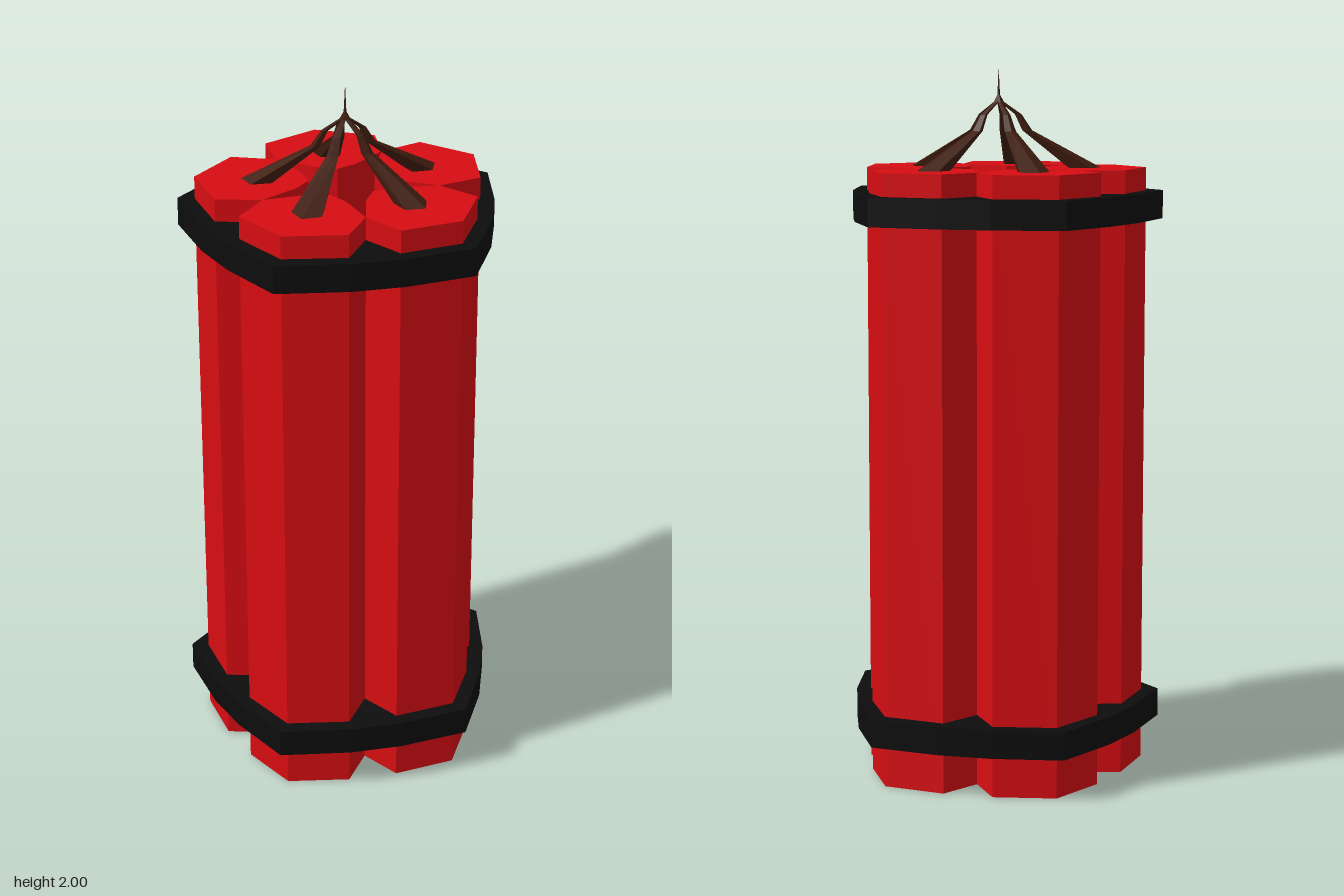
import * as THREE from 'three';

const RED = new THREE.MeshStandardMaterial({ color: 0xd60d12, flatShading: true });
const BLACK = new THREE.MeshStandardMaterial({ color: 0x0d0d0d, flatShading: true });
const BROWN = new THREE.MeshStandardMaterial({ color: 0x3f1d10, flatShading: true });
const COUNT = 5;
const STEP = (Math.PI * 2) / COUNT;

// Turn [x, z] outline points into shape points (shape y becomes -z once laid flat)
const outline = (pts) => pts.map(([x, z]) => new THREE.Vector2(x, -z));

// Upright prism from a plan outline
function prism(shape, y, height) {
  const geo = new THREE.ExtrudeGeometry(shape, { depth: height, bevelEnabled: false });
  return geo.rotateX(-Math.PI / 2).translate(0, y, 0);
}

// Repeat plan points around the bundle axis
function repeatAround(pts) {
  const out = [];
  for (let i = 0; i < COUNT; i++) {
    const c = Math.cos(i * STEP), s = Math.sin(i * STEP);
    for (const [x, z] of pts) out.push([x * c + z * s, z * c - x * s]);
  }
  return out;
}

// Tapering strand lofted through five-sided sections [radius, y, halfWidth, halfDepth]
function strand(sections, sides = 5) {
  const pos = [], index = [];
  for (const [r, y, w, d] of sections) {
    for (let j = 0; j < sides; j++) {
      const a = (j / sides) * Math.PI * 2;
      pos.push(w * Math.sin(a), y, r + d * Math.cos(a));
    }
  }
  for (let i = 0; i < sections.length - 1; i++) {
    for (let j = 0; j < sides; j++) {
      const a = i * sides + j, b = i * sides + ((j + 1) % sides);
      index.push(a, b, b + sides, a, b + sides, a + sides);
    }
  }
  const geo = new THREE.BufferGeometry();
  geo.setAttribute('position', new THREE.Float32BufferAttribute(pos, 3));
  geo.setIndex(index);
  const flat = geo.toNonIndexed();
  flat.computeVertexNormals();
  return flat;
}

export function createModel() {
  const model = new THREE.Group();
  model.name = 'stickBundle';

  // Eight-sided stick and its fuse, shared by all five positions
  const stickShape = new THREE.Shape(outline([
    [0, 0.42], [0.16, 0.34], [0.153, 0.21], [0.06, 0.13],
    [0, 0.102], [-0.06, 0.13], [-0.153, 0.21], [-0.16, 0.34],
  ]));
  const stickGeo = prism(stickShape, 0, 1.725);
  const fuseGeo = strand([
    [0.24, 1.725, 0.047, 0.05],
    [0.08, 1.83, 0.018, 0.015],
    [0.055, 1.875, 0.012, 0.01],
    [0.008, 1.91, 0.007, 0.007],
    [0.001, 1.93, 0.003, 0.003],
    [0, 2.0, 0.0005, 0.0005],
  ]);

  for (let i = 0; i < COUNT; i++) {
    const unit = new THREE.Group();
    unit.name = `stickUnit${i + 1}`;
    const stick = new THREE.Mesh(stickGeo, RED);
    stick.name = 'stick';
    const fuse = new THREE.Mesh(fuseGeo, BROWN);
    fuse.name = 'fuse';
    unit.add(stick, fuse);
    unit.rotation.y = i * STEP;
    model.add(unit);
  }

  // Straps wrapped around the bundle, filling the gaps between sticks
  const bandShape = new THREE.Shape(outline(repeatAround([[-0.18, 0.375], [0, 0.469], [0.18, 0.375]])));
  const half = STEP / 2;
  bandShape.holes.push(new THREE.Path(outline(repeatAround([[0.26 * Math.sin(half), 0.26 * Math.cos(half)]]))));
  for (const [name, y] of [['lowerBand', 0.122], ['upperBand', 1.58]]) {
    const band = new THREE.Mesh(prism(bandShape, y, 0.08), BLACK);
    band.name = name;
    model.add(band);
  }

  model.position.z = -0.03;
  const root = new THREE.Group();
  root.name = 'bundle';
  root.add(model);
  return root;
}
